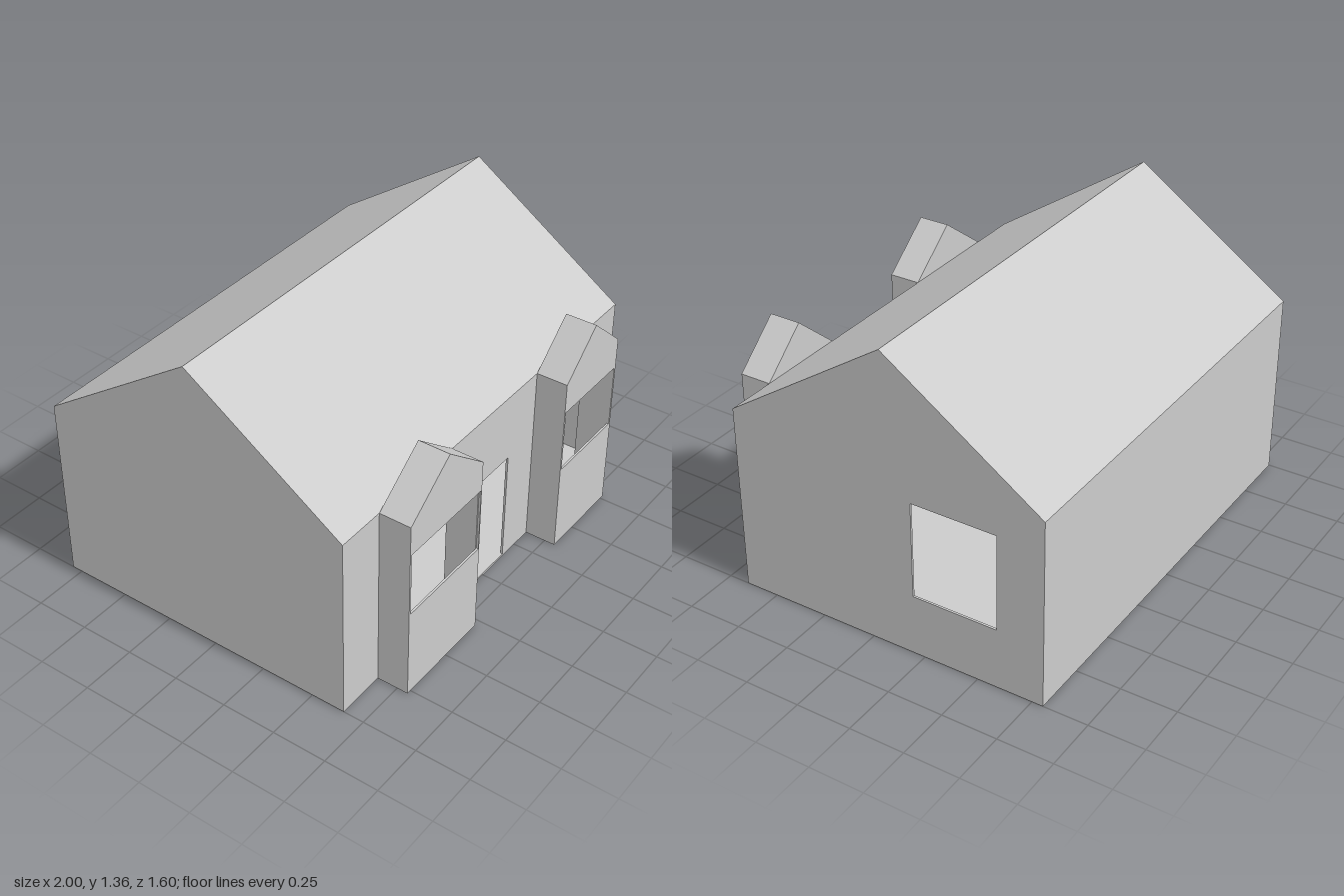
import * as THREE from 'three';

const T = 0.01;                       // wall thickness
const R = 0.012;                      // vertical thickness of the roof
const EAVE = 0.86;
const FRONT = 0.655, BACK = -0.8, BAY_FRONT = 0.8;
const RIDGE = [-0.08, 1.355];         // z, y of the main ridge

const material = new THREE.MeshStandardMaterial({ color: 0xcccccc, flatShading: true });

const toPoints = (list) => list.map(([x, y]) => new THREE.Vector2(x, y));
const rect = (x0, x1, y0, y1) => [[x0, y0], [x1, y0], [x1, y1], [x0, y1]];
const chevron = (a, apex, b) => [
  [a, EAVE - R], [apex[0], apex[1] - R], [b, EAVE - R],
  [b, EAVE], apex, [a, EAVE],
];

function extrude(points, depth, hole) {
  const shape = new THREE.Shape(toPoints(points));
  if (hole) shape.holes.push(new THREE.Path(toPoints(hole)));
  return new THREE.ExtrudeGeometry(shape, { depth, bevelEnabled: false });
}

function add(parent, name, geometry) {
  const mesh = new THREE.Mesh(geometry, material);
  mesh.name = name;
  parent.add(mesh);
  return mesh;
}

// Outline in x, y extruded from z0 to z1
function panelZ(parent, name, points, z0, z1, hole) {
  return add(parent, name, extrude(points, z1 - z0, hole).translate(0, 0, z0));
}

// Outline in z, y extruded from x0 to x1
function panelX(parent, name, points, x0, x1, hole) {
  return add(parent, name, extrude(points, x1 - x0, hole).rotateY(-Math.PI / 2).translate(x1, 0, 0));
}

function box(parent, name, x0, x1, y0, y1, z0, z1) {
  const g = new THREE.BoxGeometry(x1 - x0, y1 - y0, z1 - z0);
  return add(parent, name, g.translate((x0 + x1) / 2, (y0 + y1) / 2, (z0 + z1) / 2));
}

// Projecting bay, open to the room behind, with its own small gable roof
function makeBay({ name, x0, x1, apex, window }) {
  const bay = new THREE.Group();
  bay.name = name;
  panelZ(bay, 'bayFrontWall', [[x0, 0], [x1, 0], [x1, EAVE], apex, [x0, EAVE]],
    BAY_FRONT - T, BAY_FRONT, window);
  box(bay, 'bayLeftWall', x1 - T, x1, 0, EAVE - R, FRONT - T, BAY_FRONT - T);
  box(bay, 'bayRightWall', x0, x0 + T, 0, EAVE - R, FRONT - T, BAY_FRONT - T);
  box(bay, 'bayFloor', x0 + T, x1 - T, 0, T, FRONT, BAY_FRONT - T);
  panelZ(bay, 'bayRoof', chevron(x0, apex, x1), FRONT, BAY_FRONT - T);
  panelZ(bay, 'bayBackGable', [[x0, EAVE - R], [x1, EAVE - R], [apex[0], apex[1] - R]], FRONT, FRONT + T);
  return bay;
}

export function createModel() {
  const house = new THREE.Group();
  house.name = 'house';
  const inner = 1 - T;

  // Gable end walls, the one at +x with a window opening
  const gable = [[BACK, 0], [FRONT, 0], [FRONT, EAVE], RIDGE, [BACK, EAVE]];
  panelX(house, 'leftGableWall', gable, inner, 1, rect(-0.59, -0.2, 0.28, 0.72));
  panelX(house, 'rightGableWall', gable, -1, -inner);

  // Floor, back wall and roof
  box(house, 'floor', -inner, inner, 0, T, BACK, FRONT);
  box(house, 'backWall', -inner, inner, T, EAVE - R, BACK, BACK + T);
  panelX(house, 'roof', chevron(BACK, RIDGE, FRONT), -inner, inner);

  // Bays
  const bays = [
    { name: 'rightBay', x0: -0.77, x1: -0.28, apex: [-0.52, 1.05], window: rect(-0.76, -0.285, 0.42, 0.72) },
    { name: 'leftBay', x0: 0.35, x1: 0.77, apex: [0.56, 1.045], window: rect(0.36, 0.76, 0.415, 0.715) },
  ];
  bays.forEach((b) => house.add(makeBay(b)));

  // Front wall pieces beside the bays, with the doorway in the middle one
  const [a, b] = bays;
  const top = EAVE - R;
  box(house, 'frontWallRight', -inner, a.x0, T, top, FRONT - T, FRONT);
  box(house, 'frontWallLeft', b.x1, inner, T, top, FRONT - T, FRONT);
  const d0 = -0.105, d1 = 0.155, doorTop = 0.54;
  panelZ(house, 'frontWallWithDoorway', [
    [a.x1, T], [d0, T], [d0, doorTop], [d1, doorTop], [d1, T], [b.x0, T], [b.x0, top], [a.x1, top],
  ], FRONT - T, FRONT);

  return house;
}
